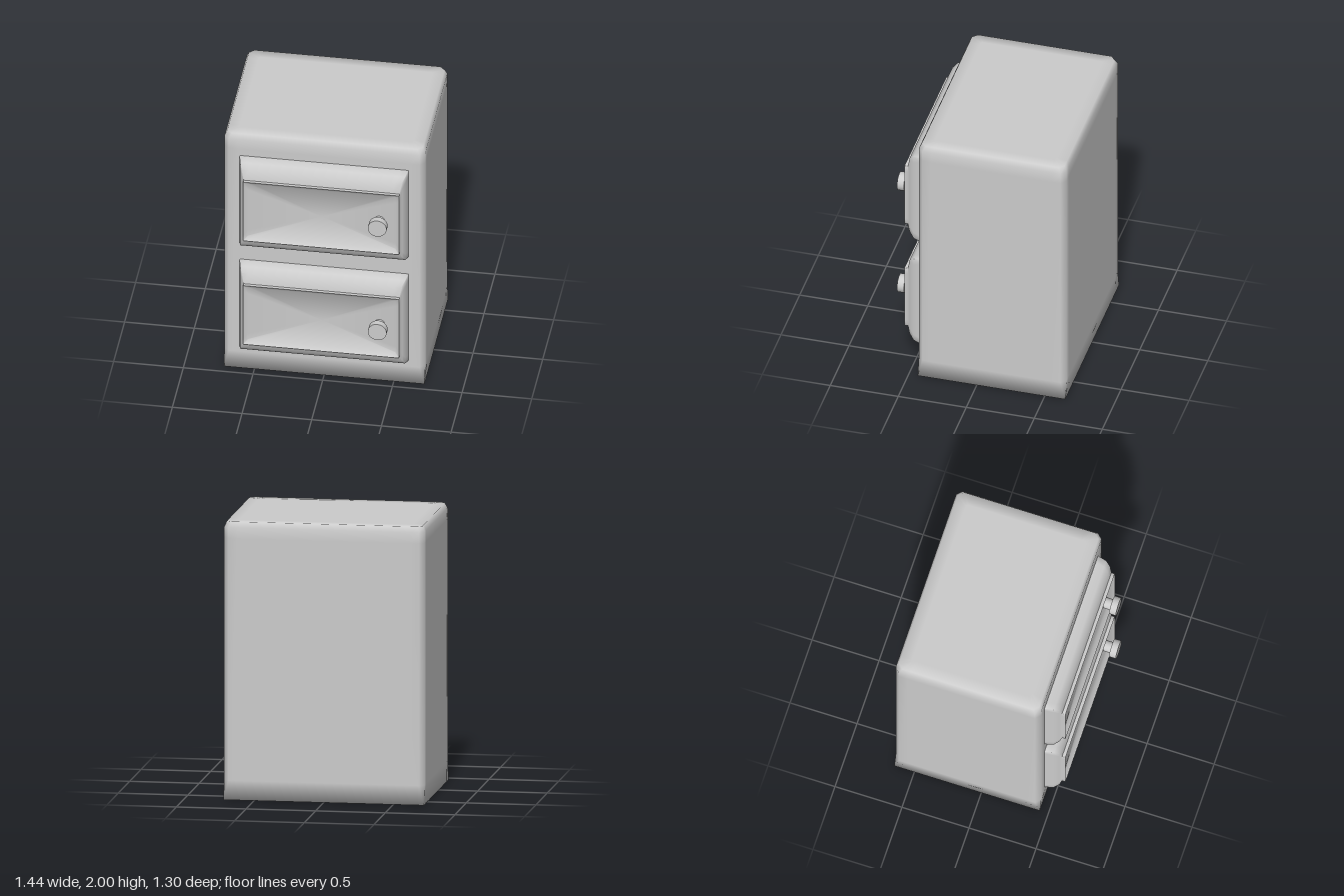
import * as THREE from 'three';
import { toCreasedNormals } from 'three/addons/utils/BufferGeometryUtils.js';

const material = new THREE.MeshStandardMaterial({ color: 0xcccccc });

// Counter-clockwise rectangle with bevelled corners; s places support points that keep the flats flat.
function ring(hu, hv, b, s) {
  const corner = [[hu, hv - s], [hu, hv - b], [hu - b, hv], [hu - s, hv]];
  const flip = (su, sv) => corner.map(([u, v]) => [u * su, v * sv]);
  return [...flip(1, 1), ...flip(-1, 1).reverse(), ...flip(-1, -1), ...flip(1, -1).reverse()];
}

// Skins a stack of equal-length loops of Vector3 and closes both ends.
function loft(loops, crease) {
  const n = loops[0].length;
  const last = (loops.length - 1) * n;
  const points = loops.flat();
  const index = [];
  for (let i = 0; i < last; i += n) {
    for (let j = 0; j < n; j++) {
      const a = i + j, b = i + (j + 1) % n;
      index.push(a, b, b + n, a, b + n, a + n);
    }
  }
  const centre = (loop) => loop.reduce((c, p) => c.add(p), new THREE.Vector3()).divideScalar(n);
  const c0 = points.length;
  points.push(centre(loops[0]), centre(loops[loops.length - 1]));
  for (let j = 0; j < n; j++) {
    const k = (j + 1) % n;
    index.push(c0, k, j, c0 + 1, last + j, last + k);
  }
  const geometry = new THREE.BufferGeometry().setFromPoints(points);
  geometry.setIndex(index);
  return toCreasedNormals(geometry, crease);
}

function add(parent, name, geometry) {
  const mesh = new THREE.Mesh(geometry, material);
  mesh.name = name;
  parent.add(mesh);
  return mesh;
}

// Cabinet body: square foot, softened upright and top edges.
function cabinetGeometry() {
  // height, inset, corner bevel, support distance
  const levels = [
    [0, 0.1, 0.002, 0.02], [0, 0, 0.002, 0.1], [0.14, 0, 0.035, 0.1],
    [1.88, 0, 0.035, 0.1], [1.96, 0, 0.035, 0.1], [2, 0.018, 0.035, 0.1], [2, 0.1, 0.01, 0.03],
  ];
  return loft(levels.map(([y, inset, b, s]) =>
    ring(0.72 - inset, 0.5425 - inset, b, s).map(([u, v]) => new THREE.Vector3(u, y, -v - 0.1075))), 1.8);
}

// Drawer front: rounded frame, raised rim and a shallow dished panel.
function drawerGeometry() {
  // z, half width, bottom, top
  const levels = [
    [0.41, 0.605, -0.37, 0.375], [0.44, 0.605, -0.37, 0.375], [0.5, 0.594, -0.352, 0.36],
    [0.535, 0.575, -0.31, 0.325], [0.55, 0.56, -0.26, 0.245],
    [0.575, 0.56, -0.26, 0.245], [0.55, 0.53, -0.23, 0.215],
  ];
  return loft(levels.map(([z, hx, low, high]) =>
    ring(hx, (high - low) / 2, 0.003, 0.05).map(([u, v]) =>
      new THREE.Vector3(u, v + (high + low) / 2, z))), 1.0);
}

export function createModel() {
  const model = new THREE.Group();
  model.name = 'cabinet';
  add(model, 'body', cabinetGeometry());

  const front = drawerGeometry();
  const stem = new THREE.CylinderGeometry(0.04, 0.04, 0.09, 24).rotateX(Math.PI / 2);
  const knob = new THREE.CylinderGeometry(0.067, 0.067, 0.05, 32).rotateX(Math.PI / 2);

  for (const [name, y] of [['upperDrawer', 1.45], ['lowerDrawer', 0.56]]) {
    const drawer = new THREE.Group();
    drawer.name = name;
    drawer.position.y = y;
    add(drawer, 'drawerFront', front);
    add(drawer, 'knobStem', stem).position.set(0.415, 0, 0.575);
    add(drawer, 'knob', knob).position.set(0.415, 0, 0.627);
    model.add(drawer);
  }
  return model;
}
